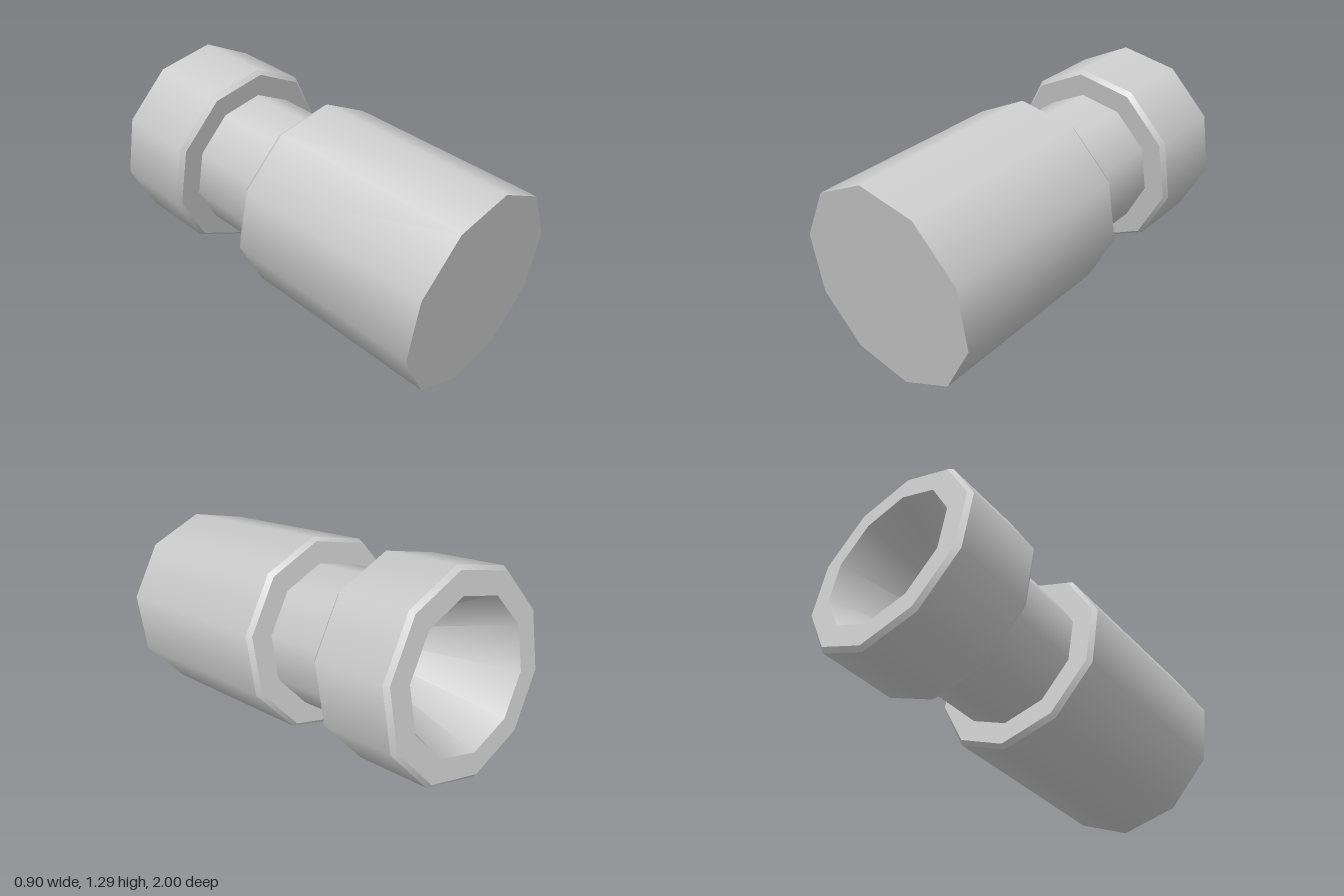
import * as THREE from 'three';
import { mergeGeometries } from 'three/addons/utils/BufferGeometryUtils.js';

const SIDES = 10;
const R = 0.474;      // outer radius of body and collar
const RC = 0.455;     // radius at the chamfered rims
const RN = 0.348;     // neck and opening radius
const TILT = 0.2;     // upward tilt of the axis, radians

// Ten-sided turned part: smooth around, sharp between profile segments.
// Each profile point is [radius, distance along the axis from the front].
function turned(name, profile) {
  const bands = [];
  for (let i = 0; i < profile.length - 1; i++) {
    const pair = [profile[i], profile[i + 1]].map(([r, s]) => new THREE.Vector2(r, s));
    bands.push(new THREE.LatheGeometry(pair, SIDES));
  }
  const mesh = new THREE.Mesh(
    mergeGeometries(bands),
    new THREE.MeshStandardMaterial({ color: 0xcccccc })
  );
  mesh.name = name;
  return mesh;
}

export function createModel() {
  const model = new THREE.Group();
  model.name = 'neckedCylinder';

  const axis = new THREE.Group();
  axis.name = 'tiltedAxis';
  axis.add(
    // long body with a flat front and a chamfered back rim
    turned('body', [[0, 0], [R, 0], [R, 0.982], [RC, 1.005], [0, 1.005]]),
    // narrow neck
    turned('neck', [[RN, 1.005], [RN, 1.43]]),
    // collar chamfered on both rims, with a conical bore
    turned('collar', [
      [RN, 1.43], [RC, 1.43], [R, 1.453], [R, 1.835], [RC, 1.855],
      [RN, 1.855], [0, 0.91],
    ])
  );
  // local +y runs backwards and slightly up, local +z points up
  axis.rotation.x = TILT - Math.PI / 2;
  axis.position.set(0, 0.465, 0.906);
  model.add(axis);
  return model;
}
